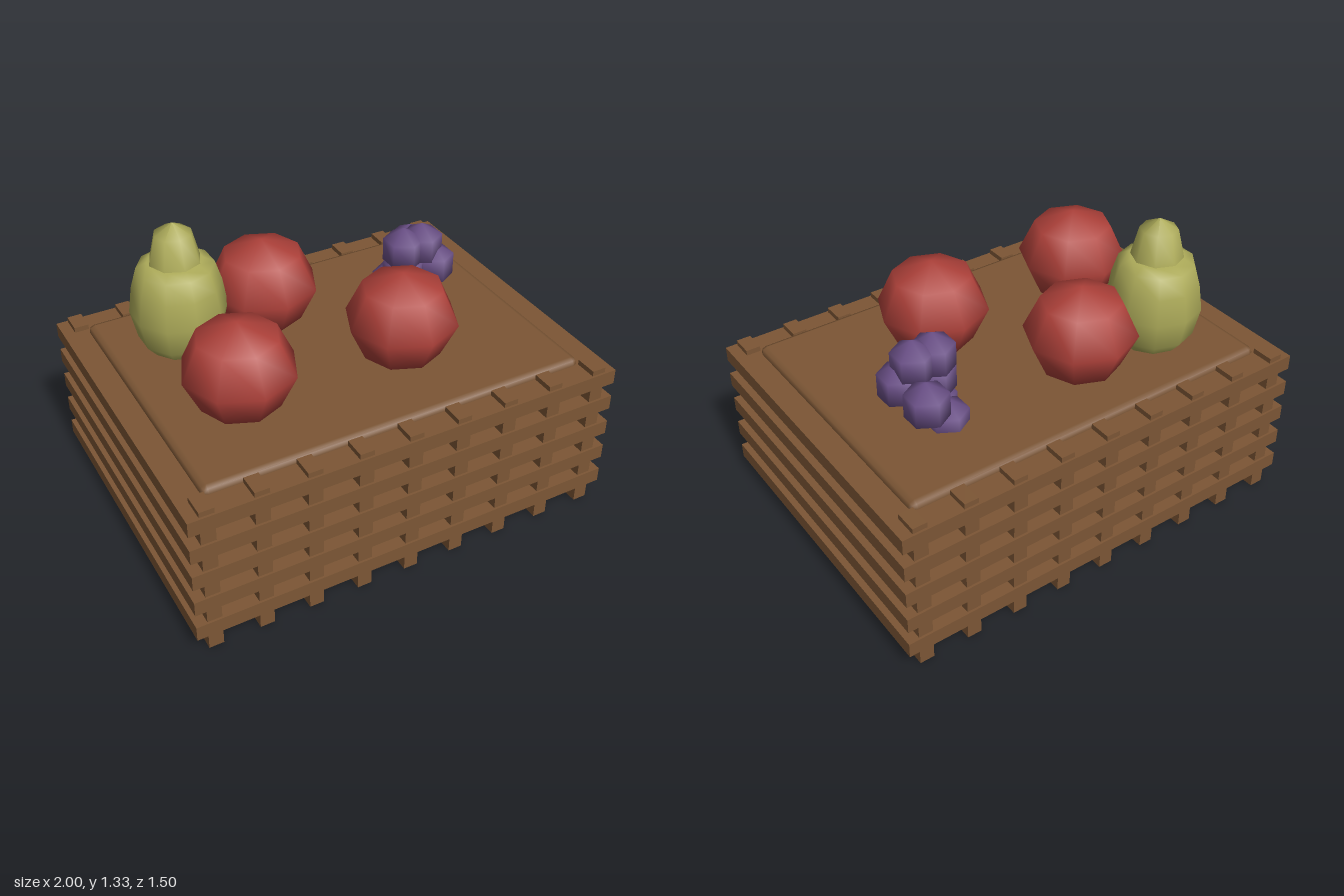
import * as THREE from 'three';
import { RoundedBoxGeometry } from 'three/addons/geometries/RoundedBoxGeometry.js';

const material = (name, color) => {
  const m = new THREE.MeshStandardMaterial({ color });
  m.name = name;
  return m;
};

export function createModel() {
  const wood = material('wood brown', 0x7c5635);
  const red = material('apple red', 0xae413a);
  const green = material('pear green', 0xaeac5a);
  const purple = material('grape purple', 0x6b5088);

  const model = new THREE.Group();
  model.name = 'fruitCrate';

  const add = (parent, name, geometry, mat, x = 0, y = 0, z = 0) => {
    const mesh = new THREE.Mesh(geometry, mat);
    mesh.name = name;
    mesh.position.set(x, y, z);
    parent.add(mesh);
    return mesh;
  };
  const addGroup = (name) => {
    const group = new THREE.Group();
    group.name = name;
    model.add(group);
    return group;
  };

  // Crate: softened core, five stacked slat layers and rows of upright posts
  const crate = addGroup('crate');
  add(crate, 'crateCore', new RoundedBoxGeometry(1.78, 0.735, 1.28, 1, 0.03), wood, 0, 0.3675, 0);
  const slat = new THREE.BoxGeometry(2, 0.07, 1.5);
  for (let i = 0; i < 5; i++) add(crate, 'slatLayer', slat, wood, 0, 0.115 + i * 0.139, 0);
  const post = new THREE.BoxGeometry(0.065, 0.73, 0.1);
  for (const side of [-1, 1]) {
    for (let i = -4; i <= 4; i++) add(crate, 'post', post, wood, i * 0.229, 0.365, side * 0.69);
  }

  // Apples: squashed eight-sided spheres
  const apples = addGroup('apples');
  const appleShape = new THREE.SphereGeometry(0.248, 8, 4).scale(1, 0.89, 1);
  for (const [x, z] of [[-0.535, 0.23], [0.23, 0.23], [-0.165, -0.305]]) {
    add(apples, 'apple', appleShape, red, x, 0.922, z);
  }

  // Pear: round body with a tapered neck
  const pear = addGroup('pear');
  pear.position.set(-0.57, 0, -0.305);
  const lathe = (points, sides) =>
    new THREE.LatheGeometry(points.map(([r, y]) => new THREE.Vector2(r, y)), sides);
  add(pear, 'pearBody', lathe([[0, 0.68], [0.12, 0.71], [0.185, 0.79], [0.213, 0.92],
    [0.195, 1.04], [0.168, 1.13], [0.12, 1.155], [0, 1.16]], 10), green);
  add(pear, 'pearNeck', lathe([[0.12, 1.13], [0.115, 1.155], [0.083, 1.285], [0, 1.333]], 8), green);

  // Grapes: a small cluster of coarse spheres
  const grapes = addGroup('grapes');
  const grapeShape = new THREE.SphereGeometry(0.108, 6, 3).rotateY(Math.PI / 2);
  const grapeSpots = [
    [0.575, 0.985, -0.165], [0.48, 0.985, -0.165], [0.625, 0.885, -0.137],
    [0.615, 0.892, -0.325], [0.48, 0.74, -0.165], [0.5, 0.74, -0.285],
    [0.475, 0.87, -0.155],
  ];
  for (const [x, y, z] of grapeSpots) add(grapes, 'grape', grapeShape, purple, x, y, z);

  return model;
}
